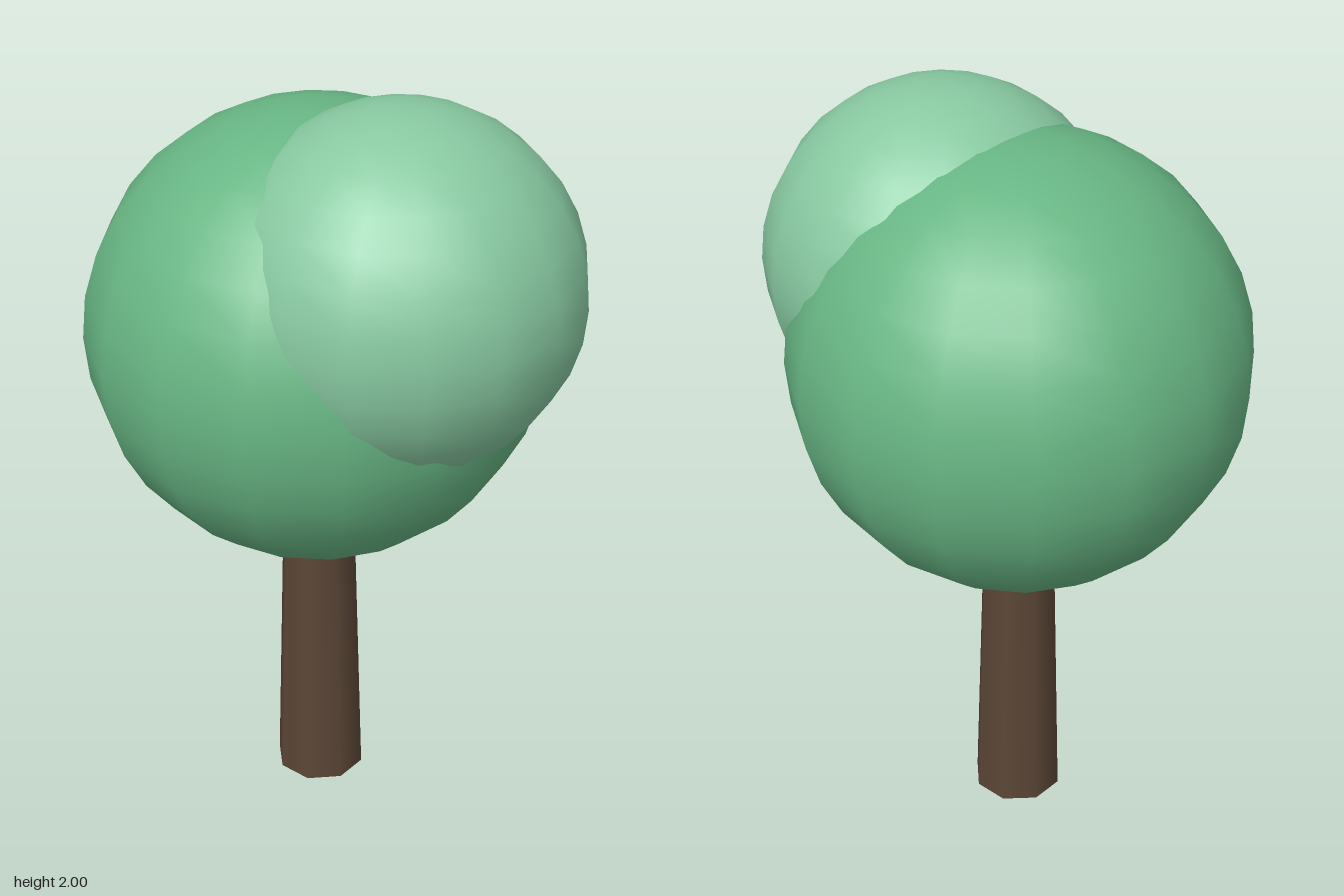
import * as THREE from 'three';

const TREE_X = -0.057;

function addPart(group, name, geometry, color, x, y, z) {
  const mesh = new THREE.Mesh(geometry, new THREE.MeshStandardMaterial({ color }));
  mesh.name = name;
  mesh.position.set(x, y, z);
  group.add(mesh);
}

export function createModel() {
  const tree = new THREE.Group();
  tree.name = 'tree';

  // Tapered eight-sided trunk, its top hidden inside the crown
  const trunkHeight = 1.0;
  addPart(tree, 'trunk', new THREE.CylinderGeometry(0.092, 0.12, trunkHeight, 8),
    0x5b4636, TREE_X, trunkHeight / 2, 0);

  // Large round crown
  addPart(tree, 'mainFoliage', new THREE.SphereGeometry(0.584, 16, 16),
    0x68b684, TREE_X, 1.352, 0);

  // Smaller, lighter clump on the front left shoulder
  addPart(tree, 'upperFoliage', new THREE.SphereGeometry(0.455, 16, 16),
    0x88c9a1, 0.182, 1.545, 0.107);

  return tree;
}
